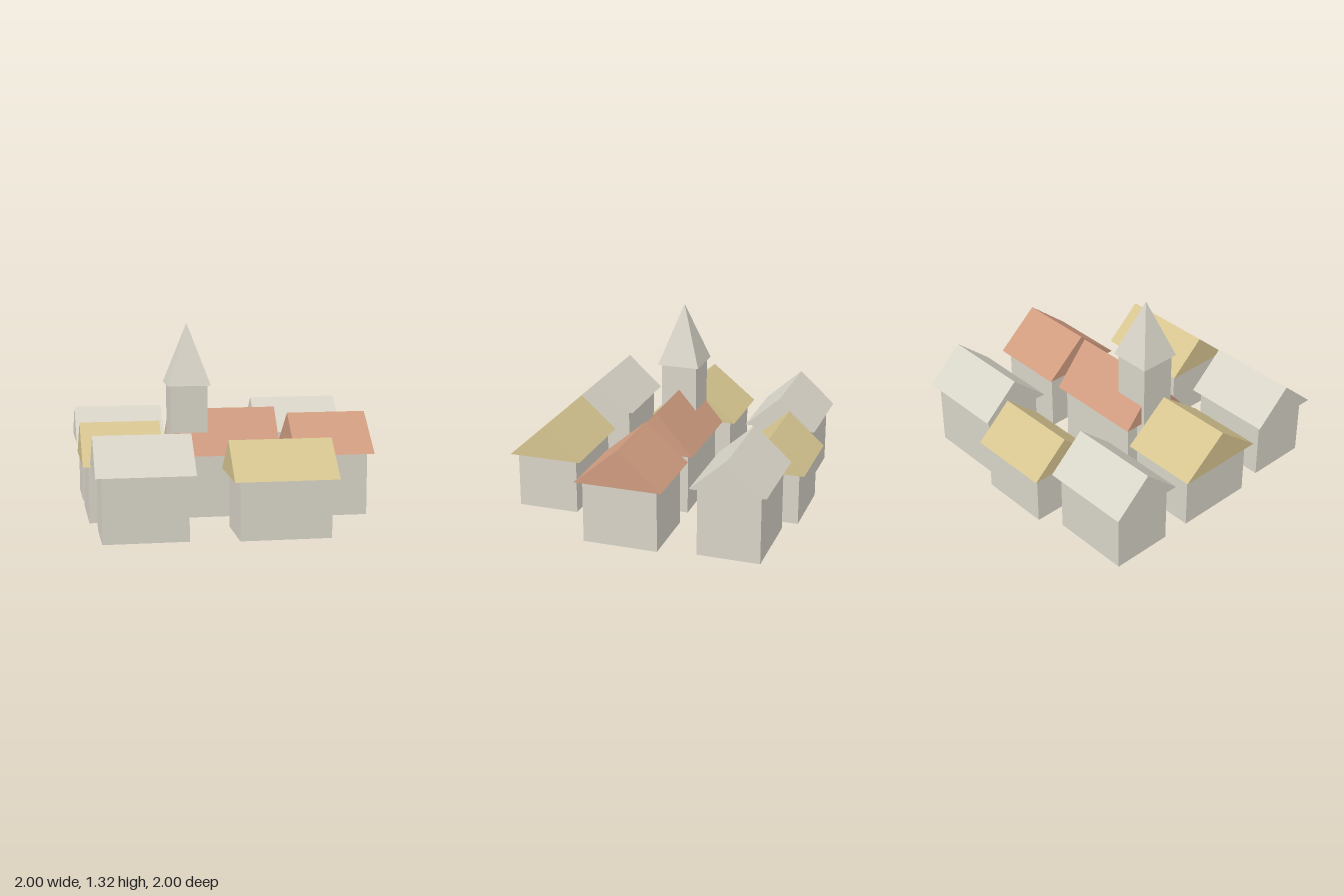
import * as THREE from 'three';

const flat = (name, color) => {
  const m = new THREE.MeshStandardMaterial({ color });
  m.name = name;
  return m;
};

export function createModel() {
  const village = new THREE.Group();
  village.name = 'village';

  const stone = flat('pale stone', 0xd8d4c8);
  const straw = flat('straw yellow', 0xd6c590);
  const clay = flat('clay red', 0xd09c80);
  const overhang = 0.042;

  function add(parent, name, geometry, material, x, y, z) {
    const mesh = new THREE.Mesh(geometry, material);
    mesh.name = name;
    mesh.position.set(x, y, z);
    parent.add(mesh);
    return mesh;
  }

  // A solid gable roof with its ridge along x, standing on y = 0
  function gableRoof(length, depth, rise) {
    const gable = new THREE.Shape([
      new THREE.Vector2(-depth / 2, 0),
      new THREE.Vector2(depth / 2, 0),
      new THREE.Vector2(0, rise),
    ]);
    return new THREE.ExtrudeGeometry(gable, { depth: length, bevelEnabled: false })
      .translate(0, 0, -length / 2)
      .rotateY(Math.PI / 2);
  }

  // Roof outline x0..x1, z0..z1; the walls are inset by the overhang
  function house(name, [x0, x1, z0, z1], eave, peak, roofMaterial) {
    const group = new THREE.Group();
    group.name = name;
    group.position.set((x0 + x1) / 2, 0, (z0 + z1) / 2);
    const w = x1 - x0, d = z1 - z0;
    add(group, 'walls', new THREE.BoxGeometry(w - 2 * overhang, eave, d - 2 * overhang),
      stone, 0, eave / 2, 0);
    add(group, 'roof', gableRoof(w, d, peak - eave), roofMaterial, 0, eave, 0);
    village.add(group);
  }

  // Back row
  house('backRightHouse', [-1, -0.363, -0.915, -0.408], 0.43, 0.66, stone);
  house('backMiddleHouse', [-0.3, 0.295, -1, -0.492], 0.368, 0.595, straw);
  house('backLeftHouse', [0.315, 0.952, -0.915, -0.408], 0.472, 0.702, stone);
  // Middle row
  house('middleRightHouse', [-1, -0.45, -0.3, 0.336], 0.39, 0.645, straw);
  house('churchHall', [-0.363, 0.358, -0.237, 0.272], 0.43, 0.725, clay);
  house('middleLeftHouse', [0.443, 0.997, -0.237, 0.358], 0.43, 0.686, clay);
  // Front row
  house('frontRightHouse', [-0.957, -0.32, 0.443, 0.952], 0.43, 0.66, stone);
  house('frontLeftHouse', [-0.086, 0.595, 0.487, 0.997], 0.388, 0.617, straw);

  // Church tower with a four-sided spire
  const tower = new THREE.Group();
  tower.name = 'churchTower';
  tower.position.set(-0.259, 0, 0.02);
  village.add(tower);
  add(tower, 'towerWalls', new THREE.BoxGeometry(0.254, 0.9, 0.254), stone, 0, 0.45, 0);
  const spire = new THREE.ConeGeometry(0.148 * Math.SQRT2, 0.42, 4, 1).rotateY(Math.PI / 4).toNonIndexed();
  spire.computeVertexNormals();
  add(tower, 'spire', spire, stone, 0, 1.11, 0);

  return village;
}
